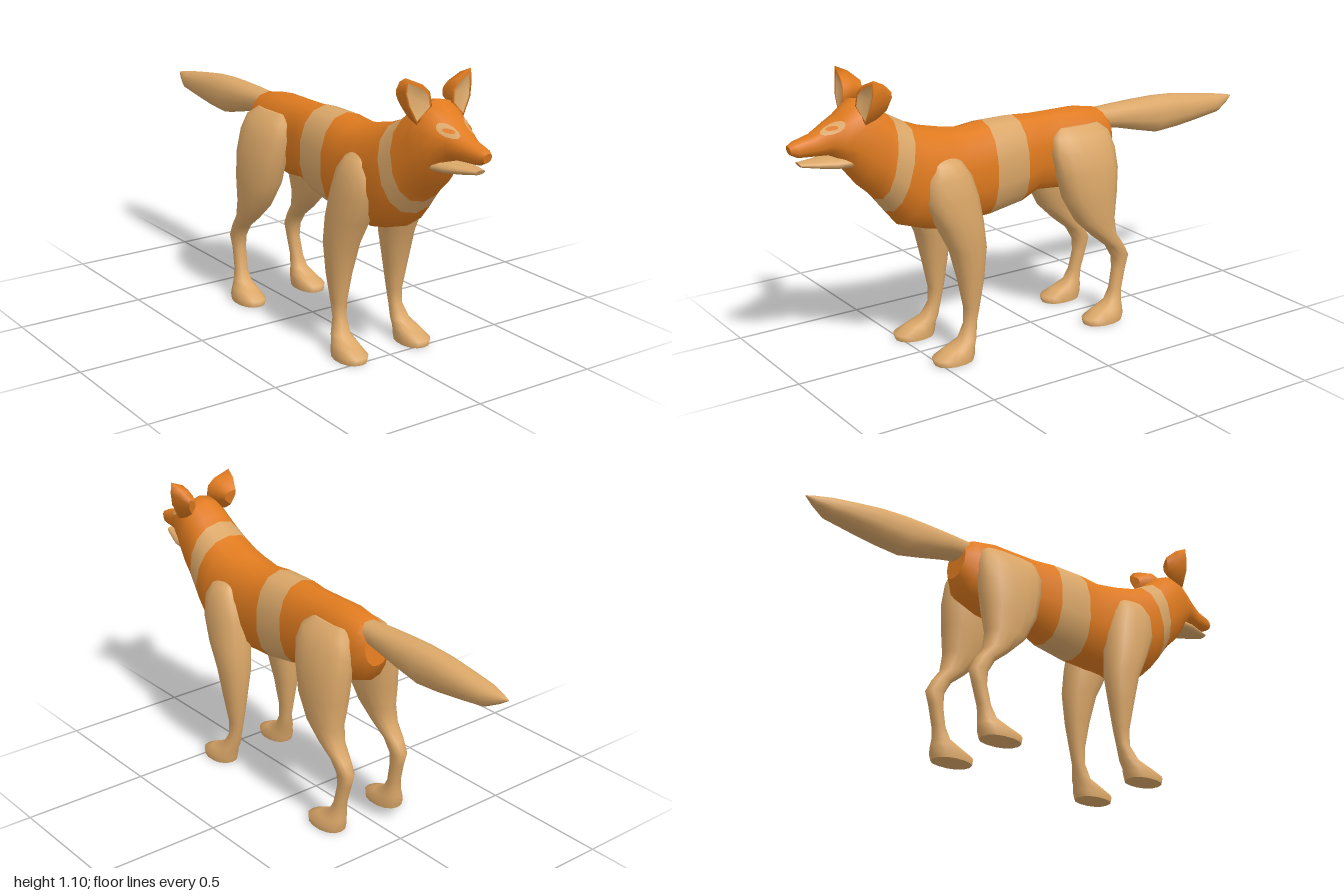
import * as THREE from 'three';

const SIDES = 14;
const V = (x, y, z) => new THREE.Vector3(x, y, z);

// Closed skin through a list of rings; each ring's colour index paints the band after it.
function loft(rings, colours, endDepth = 0) {
  const n = rings[0].length, pos = [], idx = [], geo = new THREE.BufferGeometry();
  const add = p => pos.push(p.x, p.y, p.z) / 3 - 1;
  const group = (from, c) => geo.addGroup(from, idx.length - from, c);
  rings.forEach(r => r.forEach(add));
  for (let i = 0; i < rings.length - 1; i++) {
    const from = idx.length;
    for (let j = 0; j < n; j++) {
      const a = i * n + j, b = i * n + (j + 1) % n;
      idx.push(a, b, a + n, b, b + n, a + n);
    }
    group(from, colours[i] || 0);
  }
  const cap = (ring, flip, colour, depth) => {
    const from = idx.length, mid = V(0, 0, -depth);
    ring.forEach(p => mid.addScaledVector(p, 1 / n));
    const c = add(mid), k = ring.map(add);
    for (let j = 0; j < n; j++) {
      const a = k[j], b = k[(j + 1) % n];
      flip ? idx.push(c, b, a) : idx.push(c, a, b);
    }
    group(from, colour);
  };
  cap(rings[0], true, colours[0] || 0, 0);
  cap(rings.at(-1), false, colours[rings.length - 1] || 0, endDepth);
  geo.setAttribute('position', new THREE.Float32BufferAttribute(pos, 3));
  geo.setIndex(idx);
  geo.computeVertexNormals();
  return geo;
}

// Rounded ring between two points of the side profile, (za, ya) and (zb, yb).
function ring(cx, hw, za, ya, zb, yb) {
  const soft = v => Math.sign(v) * Math.abs(v) ** 0.9;
  return Array.from({ length: SIDES }, (_, j) => {
    const t = j / SIDES * Math.PI * 2, c = soft(Math.cos(t)), s = soft(Math.sin(t));
    return V(cx + hw * s, (ya + yb) / 2 + (ya - yb) / 2 * c, (za + zb) / 2 + (za - zb) / 2 * c);
  });
}

// Nose to rump: top z, top y, bottom z, bottom y, half width, colour (1 = tan band)
const BODY = [
  [0.998, 0.878, 0.99, 0.845, 0.018, 0],
  [0.975, 0.89, 0.965, 0.832, 0.032, 0],
  [0.91, 0.907, 0.9, 0.828, 0.043, 0],
  [0.855, 0.938, 0.85, 0.825, 0.06, 0],
  [0.81, 0.96, 0.815, 0.8, 0.083, 0],
  [0.745, 1.01, 0.785, 0.75, 0.1, 0],
  [0.7, 1.0, 0.745, 0.7, 0.11, 0],
  [0.64, 0.955, 0.7, 0.66, 0.118, 0],
  [0.615, 0.935, 0.675, 0.632, 0.124, 1],
  [0.545, 0.897, 0.635, 0.58, 0.133, 0],
  [0.49, 0.876, 0.585, 0.52, 0.138, 0],
  [0.4, 0.855, 0.46, 0.478, 0.133, 0],
  [0.31, 0.842, 0.31, 0.488, 0.122, 0],
  [0.22, 0.853, 0.22, 0.49, 0.118, 1],
  [0.085, 0.853, 0.075, 0.515, 0.114, 0],
  [0, 0.847, 0, 0.545, 0.095, 0],
  [-0.1, 0.847, -0.1, 0.535, 0.094, 0],
  [-0.2, 0.845, -0.22, 0.555, 0.1, 0],
  [-0.3, 0.827, -0.32, 0.59, 0.088, 0],
  [-0.335, 0.8, -0.355, 0.66, 0.055, 0],
];

// Root to tip, same columns
const TAIL = [
  [-0.29, 0.822, -0.31, 0.745, 0.045],
  [-0.4, 0.826, -0.4, 0.728, 0.055],
  [-0.5, 0.829, -0.5, 0.703, 0.06],
  [-0.6, 0.83, -0.59, 0.682, 0.062],
  [-0.7, 0.824, -0.7, 0.69, 0.06],
  [-0.8, 0.81, -0.8, 0.703, 0.055],
  [-0.9, 0.795, -0.91, 0.718, 0.044],
  [-0.965, 0.783, -0.965, 0.747, 0.02],
  [-1, 0.775, -1, 0.771, 0.002],
];

// Lower jaw, same columns
const JAW = [
  [0.965, 0.815, 0.955, 0.797, 0.02],
  [0.9, 0.816, 0.9, 0.786, 0.042],
  [0.84, 0.819, 0.84, 0.776, 0.064],
  [0.78, 0.82, 0.78, 0.772, 0.072],
];

// Legs, sole upward: y, front z, back z, inner x, outer x
const FRONT_LEG = [
  [0, 0.52, 0.365, 0.088, 0.197],
  [0.025, 0.527, 0.358, 0.086, 0.199],
  [0.05, 0.475, 0.355, 0.094, 0.186],
  [0.075, 0.415, 0.345, 0.1, 0.172],
  [0.13, 0.385, 0.335, 0.103, 0.153],
  [0.19, 0.383, 0.322, 0.098, 0.156],
  [0.3, 0.405, 0.305, 0.083, 0.173],
  [0.42, 0.435, 0.293, 0.062, 0.186],
  [0.52, 0.485, 0.302, 0.045, 0.191],
  [0.62, 0.53, 0.316, 0.04, 0.183],
  [0.7, 0.528, 0.342, 0.045, 0.172],
  [0.75, 0.5, 0.375, 0.06, 0.145],
  [0.77, 0.48, 0.4, 0.07, 0.11],
];
const HIND_LEG = [
  [0, -0.16, -0.325, 0.088, 0.197],
  [0.025, -0.155, -0.332, 0.086, 0.199],
  [0.05, -0.21, -0.332, 0.094, 0.184],
  [0.075, -0.262, -0.33, 0.102, 0.17],
  [0.12, -0.285, -0.334, 0.108, 0.16],
  [0.2, -0.3, -0.356, 0.104, 0.155],
  [0.25, -0.297, -0.37, 0.1, 0.16],
  [0.3, -0.268, -0.342, 0.095, 0.166],
  [0.35, -0.205, -0.305, 0.085, 0.175],
  [0.42, -0.13, -0.295, 0.07, 0.184],
  [0.52, -0.073, -0.307, 0.048, 0.191],
  [0.62, -0.046, -0.316, 0.04, 0.186],
  [0.7, -0.03, -0.312, 0.04, 0.165],
  [0.76, -0.042, -0.295, 0.045, 0.135],
  [0.79, -0.08, -0.26, 0.05, 0.09],
];

// Ear rim as x, y, z
const EAR = [
  [0.139, 1.096, 0.737], [0.075, 1.068, 0.748], [0.048, 1.04, 0.753], [0.042, 0.99, 0.758],
  [0.1, 0.935, 0.75], [0.133, 1.0, 0.745], [0.143, 1.05, 0.738],
];

export function createModel() {
  const model = new THREE.Group();
  const orange = new THREE.MeshStandardMaterial({ name: 'orange fur', color: 0xe07b1f });
  const tan = new THREE.MeshStandardMaterial({ name: 'tan fur', color: 0xdba768 });
  const add = (name, geo, material) => {
    const mesh = new THREE.Mesh(geo, material);
    mesh.name = name;
    model.add(mesh);
    return mesh;
  };
  const along = rows => rows.map(([za, ya, zb, yb, hw]) => ring(0, hw, za, ya, zb, yb));

  const body = add('headAndBody', loft(along(BODY), BODY.map(r => r[5])), [orange, tan]);
  add('tail', loft(along(TAIL), []), [tan]);
  add('lowerJaw', loft(along(JAW), []), [tan]);

  // Thin patch that follows the face, projected from the front
  const ray = new THREE.Raycaster();
  const patch = (cx, cy, rx, ry, lift) => {
    const geo = new THREE.CircleGeometry(1, 12), p = geo.attributes.position;
    for (let i = 0; i < p.count; i++) {
      const x = cx + p.getX(i) * rx, y = cy + p.getY(i) * ry;
      ray.set(V(x, y, 2), V(0, 0, -1));
      const hit = ray.intersectObject(body)[0];
      p.setXYZ(i, x, y, (hit ? hit.point.z : 0.8) + lift);
    }
    geo.computeVertexNormals();
    return geo;
  };

  for (const s of [1, -1]) {
    const side = s > 0 ? 'left' : 'right';
    for (const [name, rows] of [['FrontLeg', FRONT_LEG], ['HindLeg', HIND_LEG]]) {
      const rings = rows.map(([y, zf, zb, xi, xo]) => ring(s * (xi + xo) / 2, (xo - xi) / 2, zf, y, zb, y));
      add(side + name, loft(rings, []), [tan]);
    }

    // Ear: back shell, rim, then a hollow tan inside
    const rim = (k, dz) => {
      const pts = EAR.map(([x, y, z]) => V(s * (0.092 + (x - 0.092) * k), 1 + (y - 1) * k, z + dz));
      return s > 0 ? pts : pts.reverse();
    };
    const earRings = [rim(0.4, -0.085), rim(0.78, -0.045), rim(1, 0), rim(0.8, 0.001)];
    add(side + 'Ear', loft(earRings, [0, 0, 0, 1], 0.02), [orange, tan]);

    // Eye: tan surround with a small eye
    add(side + 'EyeSurround', patch(s * 0.046, 0.928, 0.023, 0.021, 0.006), tan);
    add(side + 'Eye', patch(s * 0.046, 0.928, 0.014, 0.007, 0.009), orange);
  }
  return model;
}
